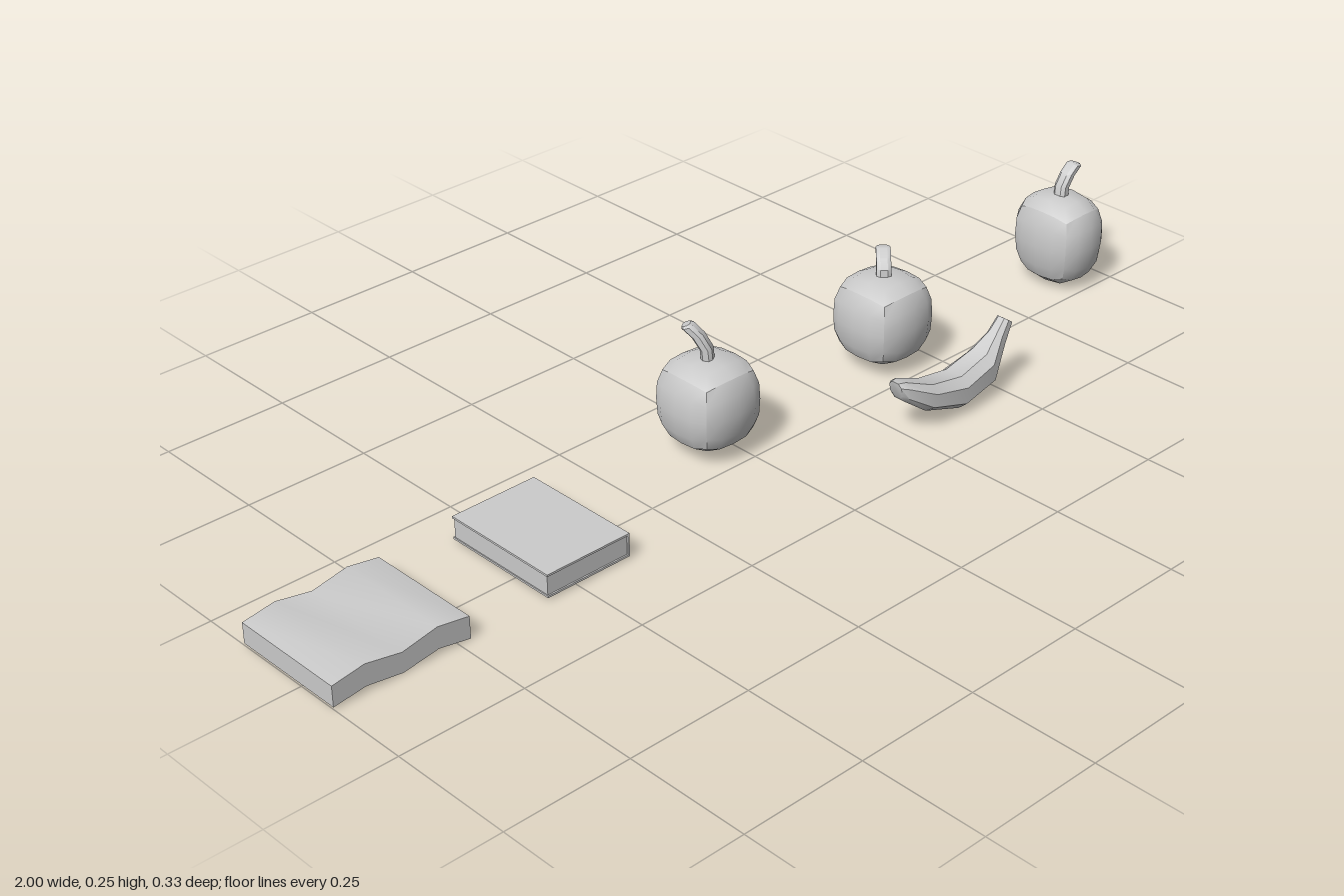
import * as THREE from 'three';
import { toCreasedNormals } from 'three/addons/utils/BufferGeometryUtils.js';

const grey = new THREE.MeshStandardMaterial({ color: 0xcccccc });

function part(name, geometry, parent, x = 0, y = 0, z = 0) {
  const mesh = new THREE.Mesh(geometry, grey);
  mesh.name = name;
  mesh.position.set(x, y, z);
  parent.add(mesh);
  return mesh;
}

// Chamfered loft in the xy plane; each station is [topX, topY, bottomX, bottomY, halfWidth]
function loft(stations) {
  const section = [[1, -0.5], [1, 0.5], [0.5, 1], [-0.5, 1], [-1, 0.5], [-1, -0.5], [-0.5, -1], [0.5, -1]];
  const n = section.length, positions = [], index = [];
  for (const [tx, ty, bx, by, w] of stations)
    for (const [a, b] of section)
      positions.push((tx + bx + a * (tx - bx)) / 2, (ty + by + a * (ty - by)) / 2, b * w);
  for (let i = 0; i < stations.length - 1; i++)
    for (let j = 0; j < n; j++) {
      const p = i * n + j, q = i * n + (j + 1) % n;
      index.push(p, q, q + n, p, q + n, p + n);
    }
  const last = (stations.length - 1) * n;
  for (let j = 1; j < n - 1; j++) {
    index.push(0, j + 1, j);
    index.push(last, last + j, last + j + 1);
  }
  const geometry = new THREE.BufferGeometry();
  geometry.setAttribute('position', new THREE.Float32BufferAttribute(positions, 3));
  geometry.setIndex(index);
  return toCreasedNormals(geometry, 0.6);
}

// Cube swollen towards a ball; its six faces stay separately smoothed
function swollenCube(hx, hy, hz, power, taper) {
  const geometry = new THREE.BoxGeometry(2, 2, 2, 4, 4, 4);
  const p = geometry.attributes.position, v = new THREE.Vector3();
  for (let i = 0; i < p.count; i++) {
    v.fromBufferAttribute(p, i);
    const sum = [v.x, v.y, v.z].reduce((s, c) => s + Math.abs(c) ** power, 0);
    v.multiplyScalar(sum ** (-1 / power));
    const k = 1 + taper * v.y;
    p.setXYZ(i, v.x * hx * k, v.y * hy, v.z * hz * k);
  }
  geometry.computeVertexNormals();
  return geometry;
}

function fruit(name, { x, y, z, size, power, taper = 0, lean, rise, yaw }) {
  const group = new THREE.Group();
  group.name = name;
  group.position.set(x, y, z);
  part(name + 'Body', swollenCube(...size, power, taper), group);
  // Bent stem, leaning towards +x before it is turned
  const top = size[1];
  const stem = loft([
    [-0.012, top - 0.015, 0.01, top - 0.015, 0.014],
    [-0.009, top + rise * 0.3, 0.013, top + rise * 0.25, 0.014],
    [lean * 0.4 - 0.008, top + rise * 0.7, lean * 0.4 + 0.013, top + rise * 0.6, 0.014],
    [lean - 0.011, top + rise * 0.97, lean + 0.01, top + rise * 0.85, 0.014],
    [lean - 0.005, top + rise, lean + 0.01, top + rise * 0.91, 0.01],
  ]);
  part(name + 'Stem', stem, group).rotation.y = yaw;
  return group;
}

function openBook() {
  // Rippled slab: the same wave runs along the top and the underside
  const xs = [-1, -0.935, -0.862, -0.79, -0.725];
  const top = [0.048, 0.058, 0.044, 0.058, 0.047];
  const bottom = [0.007, 0.015, 0.004, 0.015, 0.003];
  const shape = new THREE.Shape();
  xs.forEach((x, i) => (i ? shape.lineTo(x, top[i]) : shape.moveTo(x, top[i])));
  for (let i = xs.length - 1; i >= 0; i--) shape.lineTo(xs[i], bottom[i]);
  const geometry = new THREE.ExtrudeGeometry(shape, { depth: 0.24, bevelEnabled: false });
  return toCreasedNormals(geometry, 0.7);
}

function closedBook() {
  const group = new THREE.Group();
  group.name = 'closedBook';
  group.position.set(-0.474, 0.031, -0.035);
  for (const side of [-1, 1])
    part(side > 0 ? 'frontCover' : 'backCover', new THREE.BoxGeometry(0.182, 0.004, 0.25), group, 0, side * 0.021, 0);
  part('spine', new THREE.BoxGeometry(0.004, 0.038, 0.25), group, 0.089, 0, 0);
  part('pages', new THREE.BoxGeometry(0.176, 0.038, 0.244), group, -0.001, 0, 0);
  return group;
}

export function createModel() {
  const model = new THREE.Group();
  model.name = 'fruitAndBooks';

  part('openBook', openBook(), model, 0, 0, -0.155);
  model.add(closedBook());

  // Three fruits in a row
  const round = { y: 0.105, z: -0.083, size: [0.084, 0.085, 0.084], power: 2.9 };
  model.add(
    fruit('leftApple', { ...round, x: -0.037, lean: 0.036, rise: 0.066, yaw: Math.atan2(0.04, -0.027) }),
    fruit('rightApple', { ...round, x: 0.417, lean: 0.036, rise: 0.043, yaw: Math.atan2(0.028, 0.026) }),
    fruit('plum', {
      x: 0.922, y: 0.097, z: -0.077, size: [0.073, 0.094, 0.086], power: 2.6, taper: 0.04,
      lean: 0.036, rise: 0.057, yaw: 0,
    }),
  );

  // Curved fruit lying in front, thickest in the middle
  part('banana', loft([
    [0.225, 0.12, 0.23, 0.09, 0.015],
    [0.24, 0.119, 0.238, 0.08, 0.024],
    [0.307, 0.09, 0.29, 0.042, 0.035],
    [0.385, 0.077, 0.38, 0.012, 0.038],
    [0.455, 0.095, 0.467, 0.027, 0.034],
    [0.49, 0.122, 0.51, 0.09, 0.018],
    [0.512, 0.146, 0.532, 0.132, 0.014],
  ]), model, 0, 0, 0.13);

  return model;
}
